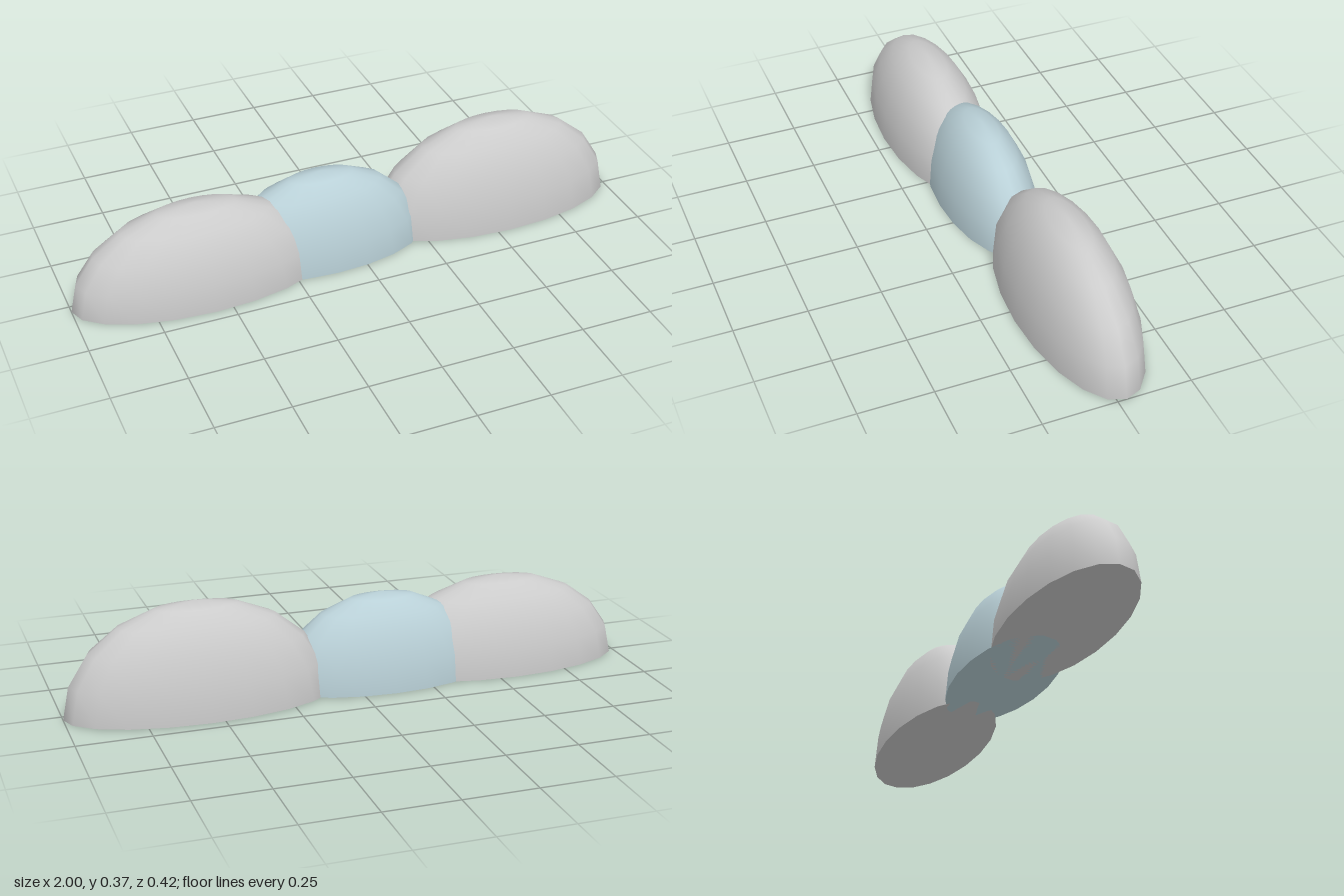
import * as THREE from 'three';
import { mergeGeometries } from 'three/addons/utils/BufferGeometryUtils.js';

const SIDES = 20, RINGS = 5;

// Unit half sphere with a flat, closed underside
function domeGeometry() {
  const shell = new THREE.SphereGeometry(1, SIDES, RINGS, 0, Math.PI * 2, 0, Math.PI / 2);
  const base = new THREE.CircleGeometry(1, SIDES).rotateX(Math.PI / 2);
  return mergeGeometries([shell, base]);
}

// Stretched dome centred at (x, z): half length, height, half depth
function mound(name, color, x, z, length, height, depth) {
  const geometry = domeGeometry().scale(length, height, depth);
  const mesh = new THREE.Mesh(geometry, new THREE.MeshStandardMaterial({ color }));
  mesh.name = name;
  mesh.position.set(x, 0, z);
  return mesh;
}

export function createModel() {
  const group = new THREE.Group();
  group.name = 'moundRow';
  group.add(
    mound('rightMound', 0xcccccc, -0.56, 0.03, 0.44, 0.32, 0.18),
    mound('middleMound', 0xb9d0d7, -0.11, 0, 0.37, 0.315, 0.16),
    mound('leftMound', 0xcccccc, 0.545, -0.03, 0.455, 0.365, 0.18),
  );
  return group;
}
